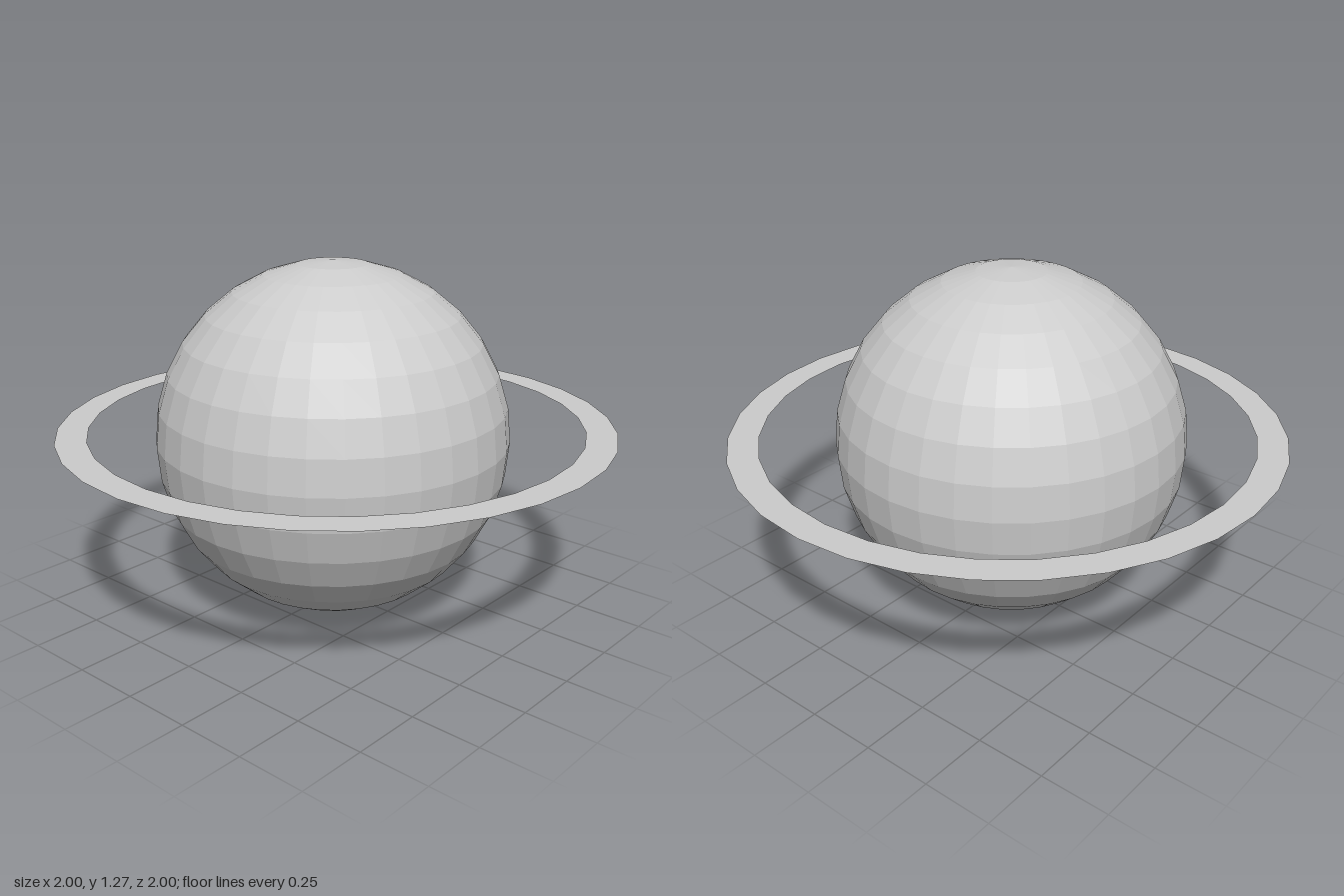
import * as THREE from 'three';

export function createModel() {
  const model = new THREE.Group();
  model.name = 'ringedPlanet';

  // Faceted globe, slightly off the ring's centre
  const radius = 0.636;
  const globe = new THREE.Mesh(
    new THREE.SphereGeometry(radius, 32, 16),
    new THREE.MeshStandardMaterial({ color: 0xcccccc, flatShading: true })
  );
  globe.name = 'globe';
  globe.position.set(-0.02, radius, 0);
  model.add(globe);

  // Paper-thin flat ring, a little above the equator
  const ring = new THREE.Mesh(
    new THREE.RingGeometry(0.89, 1, 32),
    new THREE.MeshStandardMaterial({ color: 0xcccccc, flatShading: true, side: THREE.DoubleSide })
  );
  ring.name = 'ring';
  ring.rotation.x = -Math.PI / 2;
  ring.position.y = 0.676;
  model.add(ring);

  return model;
}
